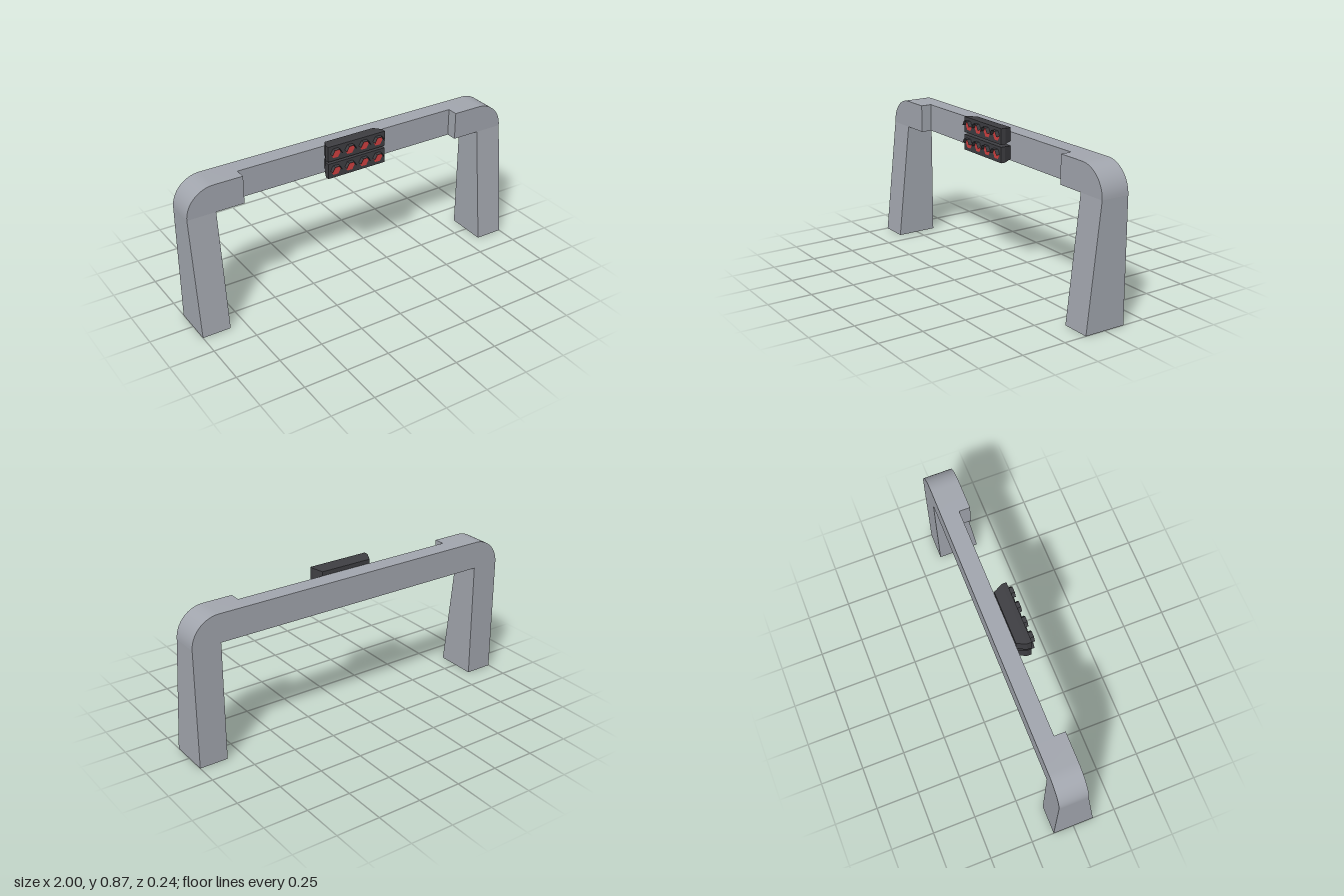
import * as THREE from 'three';
import { toCreasedNormals } from 'three/addons/utils/BufferGeometryUtils.js';

const TOP = 0.842, UNDER = 0.683, INNER = 0.837, BACK = -0.12;

export function createModel() {
  const grey = new THREE.MeshStandardMaterial({ color: 0xa2a6ae });
  grey.name = 'frameGrey';
  const dark = new THREE.MeshStandardMaterial({ color: 0x3e3e42, side: THREE.DoubleSide });
  dark.name = 'housingDark';
  const red = new THREE.MeshStandardMaterial({ color: 0xd04040 });
  red.name = 'lensRed';

  const model = new THREE.Group();
  model.name = 'signalGantry';
  const add = (parent, name, geometry, material, x = 0, y = 0, z = 0) => {
    const mesh = new THREE.Mesh(geometry, material);
    mesh.name = name;
    mesh.position.set(x, y, z);
    parent.add(mesh);
    return mesh;
  };

  // Cross beam
  add(model, 'crossBeam', new THREE.BoxGeometry(1.35, TOP - UNDER, 0.1), grey, 0, (TOP + UNDER) / 2, BACK + 0.05);

  // Leg side profile: upright back, sloping front
  const legShape = new THREE.Shape([[BACK, 0], [0.12, 0], [0.043, UNDER], [BACK, UNDER]]
    .map(([z, y]) => new THREE.Vector2(z, y)));
  const legWidth = 1 - INNER;
  const legGeometry = new THREE.ExtrudeGeometry(legShape, { depth: legWidth, bevelEnabled: false });
  legGeometry.translate(0, 0, -legWidth / 2).rotateY(-Math.PI / 2);

  for (const side of [-1, 1]) {
    const label = side > 0 ? 'left' : 'right';
    add(model, label + 'Leg', legGeometry, grey, side * (1 + INNER) / 2);

    // Rounded corner block, deeper than the beam
    const points = [new THREE.Vector2(side * 0.675, UNDER), new THREE.Vector2(side, UNDER)];
    const radius = TOP - UNDER;
    for (let i = 1; i <= 16; i++) {
      const a = (i / 16) * Math.PI / 2;
      points.push(new THREE.Vector2(side * (1 - radius + radius * Math.cos(a)), UNDER + radius * Math.sin(a)));
    }
    points.push(new THREE.Vector2(side * 0.675, TOP));
    const corner = new THREE.ExtrudeGeometry(new THREE.Shape(points), { depth: 0.163, bevelEnabled: false });
    add(model, label + 'Corner', toCreasedNormals(corner, 0.5), grey, 0, 0, BACK);
  }

  // Lamp housing: a box whose rear narrows
  const frontZ = 0.06, depth = 0.079;
  let housing = new THREE.BoxGeometry(0.36, 0.088, depth, 1, 1, 3);
  housing.translate(0, 0, -depth / 2);
  const p = housing.attributes.position;
  for (let i = 0; i < p.count; i++) {
    const t = Math.max(0, (-p.getZ(i) - depth / 3) / (depth * 2 / 3));
    p.setX(i, p.getX(i) * (1 - 0.14 * t));
    p.setY(i, p.getY(i) * (1 - 0.17 * t));
  }
  housing = housing.toNonIndexed();
  housing.computeVertexNormals();

  // Six-sided lens and the open hood around its upper half
  const lens = new THREE.CircleGeometry(0.031, 6);
  const hood = new THREE.CylinderGeometry(0.032, 0.032, 0.023, 3, 1, true, Math.PI / 2, Math.PI)
    .rotateX(Math.PI / 2).toNonIndexed();
  hood.computeVertexNormals();

  for (const [name, y] of [['upperLamps', 0.829], ['lowerLamps', 0.728]]) {
    const lamps = new THREE.Group();
    lamps.name = name;
    lamps.position.set(0, y, frontZ);
    model.add(lamps);
    add(lamps, 'housing', housing, dark);
    for (let i = 0; i < 4; i++) {
      const x = (i - 1.5) * 0.0895;
      add(lamps, 'lens', lens, red, x, 0, 0.001);
      // Open side faces down
      add(lamps, 'hood', hood, dark, x, 0, 0.0115).rotation.z = Math.PI * hoodTurn(hood);
    }
  }
  return model;
}

// Half turns needed so the closed side of a hood points up
function hoodTurn(geometry) {
  geometry.computeBoundingBox();
  return geometry.boundingBox.max.y > 0.01 ? 0 : 1;
}
